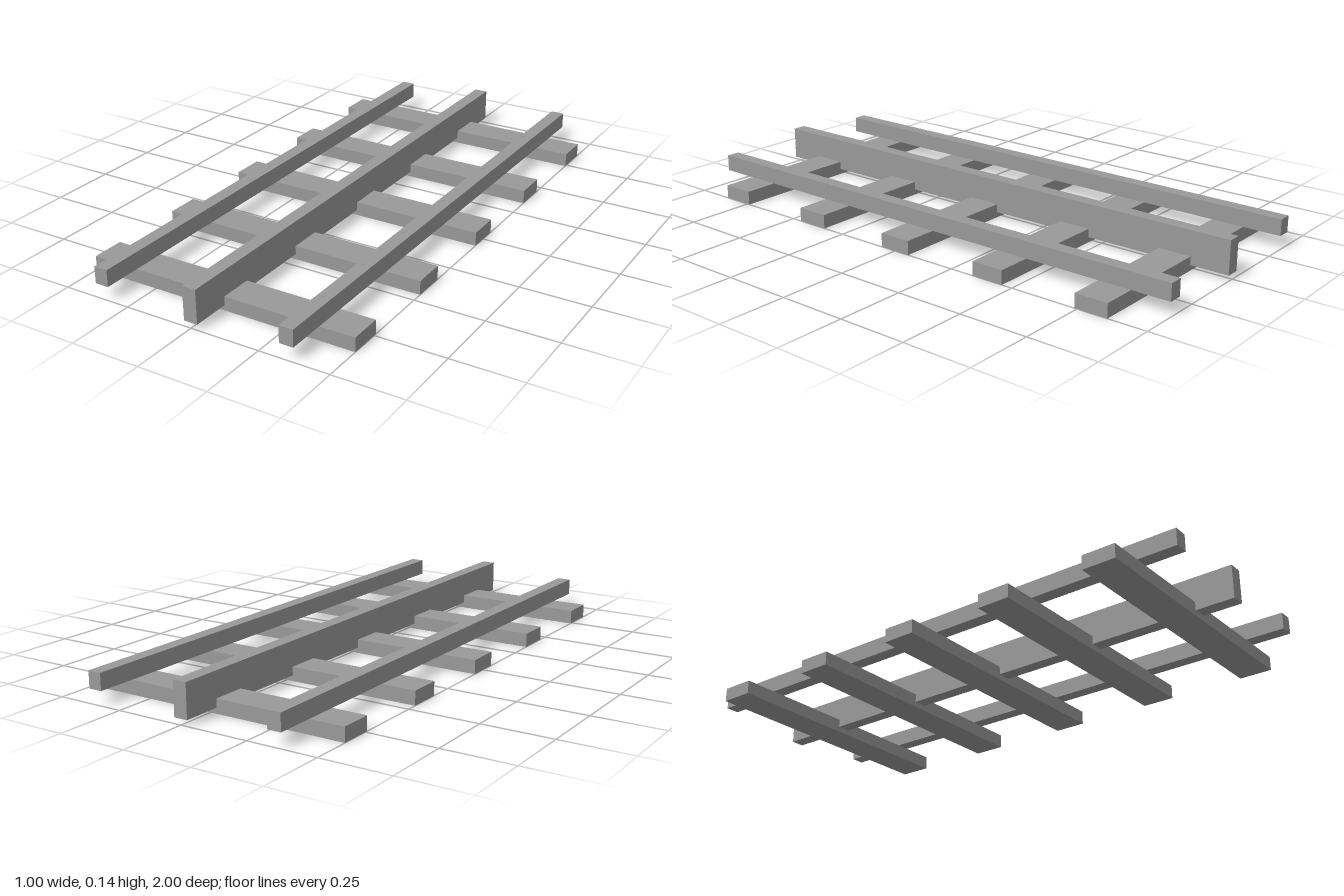
import * as THREE from 'three';

export function createModel() {
  const group = new THREE.Group();
  const grey = new THREE.MeshStandardMaterial({ color: 0x999999 });
  grey.name = 'grey';

  // Adds a box given its size, centre x and z, and underside height
  function addBox(name, width, height, depth, x, bottom, z) {
    const mesh = new THREE.Mesh(new THREE.BoxGeometry(width, height, depth), grey);
    mesh.name = name;
    mesh.position.set(x, bottom + height / 2, z);
    group.add(mesh);
  }

  // Five evenly spaced cross ties
  for (let i = -2; i <= 2; i++) addBox('crossTie', 1, 0.05, 0.12, 0, 0, i * 0.4);

  // Outer rails resting on the ties
  addBox('leftRail', 0.05, 0.06, 2, 0.35, 0.05, 0);
  addBox('rightRail', 0.05, 0.06, 2, -0.35, 0.05, 0);

  // Taller centre rail sunk into the ties
  addBox('centreRail', 0.05, 0.12, 2, 0, 0.02, 0);

  return group;
}
